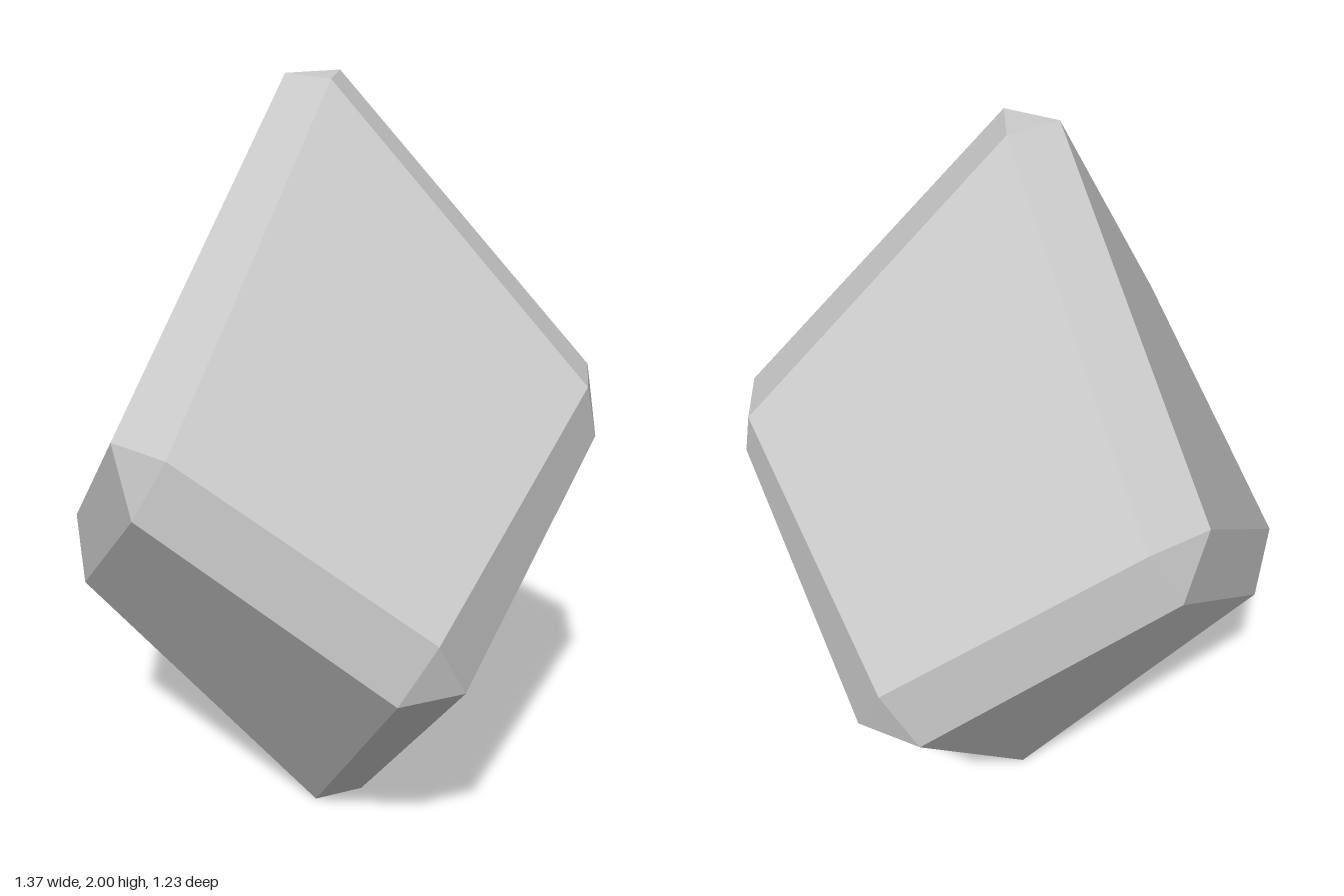
import * as THREE from 'three';

// Bevelled, slightly skewed cube standing on one corner.
// Corners: T top, U0-U2 upper ring, L0-L2 lower ring, B bottom.
// Each main face lists its own inset copy of four corners.
const upperFront = { T: [0.02, 2, 0.07], U0: [0.65, 1.29, 0.085], L1: [0.35, 0.84, 0.6], U1: [-0.26, 1.26, 0.615] };
const upperSide = { T: [-0.1, 2, 0], U1: [-0.41, 1.26, 0.53], L0: [-0.69, 0.81, 0], U2: [-0.41, 1.26, -0.53] };
const lowerFront = { B: [-0.02, 0, 0.07], L0: [-0.65, 0.65, 0.085], U1: [-0.35, 1.1, 0.6], L1: [0.26, 0.68, 0.615] };
const lowerSide = { B: [0.1, 0, 0], L1: [0.41, 0.68, 0.53], U0: [0.68, 1.13, 0], L2: [0.41, 0.68, -0.53] };

// Front faces mirrored to the back
const swap = { U1: 'U2', L1: 'L2' };
const mirror = (face) => Object.fromEntries(
  Object.entries(face).map(([k, [x, y, z]]) => [swap[k] ?? k, [x, y, -z]]));

const uppers = [upperFront, mirror(upperFront), upperSide];
const lowers = [lowerFront, mirror(lowerFront), lowerSide];
const faces = [...uppers, ...lowers];
const CENTRE = new THREE.Vector3(0, 1, 0);

// One geometry from polygons of 3 or 4 corners, each with one flat normal facing outward
function polygons(list) {
  const position = [], normal = [];
  for (const corners of list) {
    const p = corners.map((c) => new THREE.Vector3(...c));
    const last = p[p.length - 1];
    const n = p.length === 4
      ? p[2].clone().sub(p[0]).cross(p[3].clone().sub(p[1]))
      : p[1].clone().sub(p[0]).cross(last.clone().sub(p[0]));
    const middle = p.reduce((s, v) => s.add(v), new THREE.Vector3()).divideScalar(p.length);
    if (n.dot(middle.sub(CENTRE)) < 0) {
      n.negate();
      p.reverse();
      // keep the same first corner, so the fold stays on the same diagonal
      p.unshift(p.pop());
    }
    n.normalize();
    for (let i = 1; i < p.length - 1; i++) {
      for (const v of [p[0], p[i], p[i + 1]]) {
        position.push(v.x, v.y, v.z);
        normal.push(n.x, n.y, n.z);
      }
    }
  }
  const g = new THREE.BufferGeometry();
  g.setAttribute('position', new THREE.Float32BufferAttribute(position, 3));
  g.setAttribute('normal', new THREE.Float32BufferAttribute(normal, 3));
  return g;
}

export function createModel() {
  const group = new THREE.Group();
  group.name = 'crystal';
  const material = new THREE.MeshStandardMaterial({ color: 0xcccccc });
  const add = (name, list) => {
    const mesh = new THREE.Mesh(polygons(list), material);
    mesh.name = name;
    group.add(mesh);
  };

  // Large facets: upper ones fold from the top down, lower ones across
  add('upperFacets', uppers.map((f) => Object.values(f)));
  add('lowerFacets', lowers.map((f) => {
    const [a, b, c, d] = Object.values(f);
    return [b, c, d, a];
  }));

  // Bevel strips between faces that share two corners
  const bevels = [];
  faces.forEach((f, i) => faces.slice(i + 1).forEach((g) => {
    const shared = Object.keys(f).filter((k) => k in g);
    if (shared.length === 2) {
      const [a, b] = shared;
      bevels.push([f[a], f[b], g[b], g[a]]);
    }
  }));
  add('edgeBevels', bevels);

  // Small triangle where three faces meet
  const names = ['T', 'U0', 'U1', 'U2', 'L0', 'L1', 'L2', 'B'];
  add('cornerTips', names.map((k) => faces.filter((f) => k in f).map((f) => f[k])));

  return group;
}
